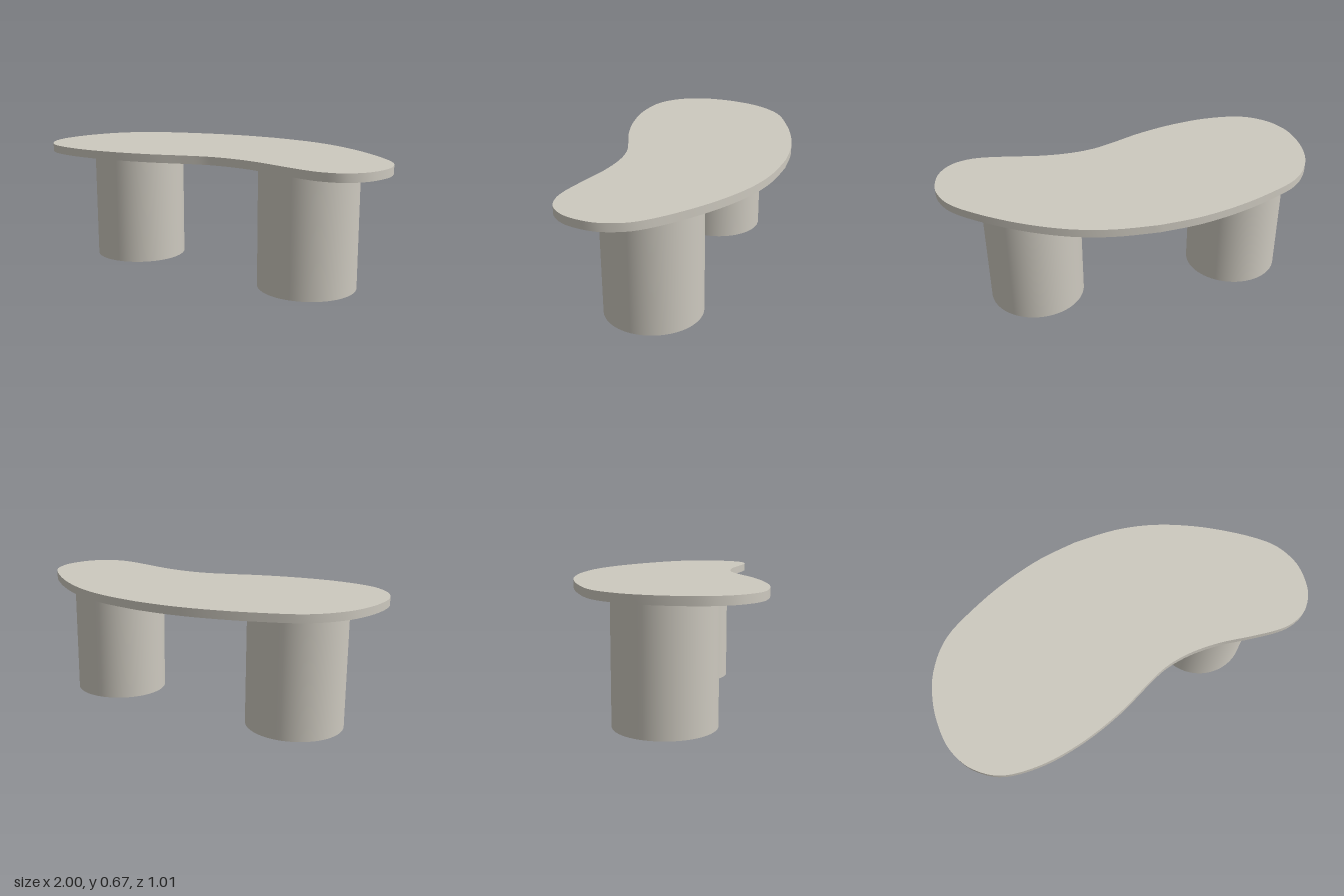
import * as THREE from 'three';
import { toCreasedNormals } from 'three/addons/utils/BufferGeometryUtils.js';

const HEIGHT = 0.667, THICKNESS = 0.042, LEG_RADIUS = 0.254;

// Kidney-shaped outline as [x, z], running clockwise from the back
const OUTLINE = [
  [0, -0.51], [0.22, -0.488], [0.42, -0.43], [0.62, -0.327], [0.8, -0.198],
  [0.93, -0.075], [0.985, 0.03], [1, 0.13], [0.975, 0.25], [0.91, 0.335],
  [0.83, 0.37], [0.74, 0.375], [0.6, 0.35], [0.43, 0.312], [0.27, 0.298],
  [0.13, 0.313], [0, 0.358], [-0.17, 0.425], [-0.38, 0.48], [-0.6, 0.503],
  [-0.8, 0.475], [-0.92, 0.39], [-0.98, 0.285], [-1, 0.17], [-0.985, 0.01],
  [-0.925, -0.15], [-0.8, -0.293], [-0.6, -0.39], [-0.4, -0.457], [-0.2, -0.498],
];

export function createModel() {
  const table = new THREE.Group();
  table.name = 'table';
  const stone = new THREE.MeshStandardMaterial({ color: 0xcdc9bf });
  stone.name = 'warm grey stone';

  // Table top: smooth closed curve, extruded and laid flat
  const curve = new THREE.SplineCurve(OUTLINE.map(([x, z]) => new THREE.Vector2(x, z)));
  curve.points.push(curve.points[0].clone());
  const shape = new THREE.Shape(curve.getPoints(150).slice(0, -1));
  const slab = new THREE.ExtrudeGeometry(shape, { depth: THICKNESS, bevelEnabled: false });
  slab.rotateX(Math.PI / 2).translate(0, HEIGHT, 0);
  const top = new THREE.Mesh(toCreasedNormals(slab, 0.6), stone);
  top.name = 'tableTop';
  table.add(top);

  // Two drum legs
  const legHeight = HEIGHT - THICKNESS;
  const drum = new THREE.CylinderGeometry(LEG_RADIUS, LEG_RADIUS, legHeight, 64);
  for (const [name, x] of [['rightLeg', -0.607], ['leftLeg', 0.533]]) {
    const leg = new THREE.Mesh(drum, stone);
    leg.name = name;
    leg.position.set(x, legHeight / 2, 0.019);
    table.add(leg);
  }
  return table;
}
